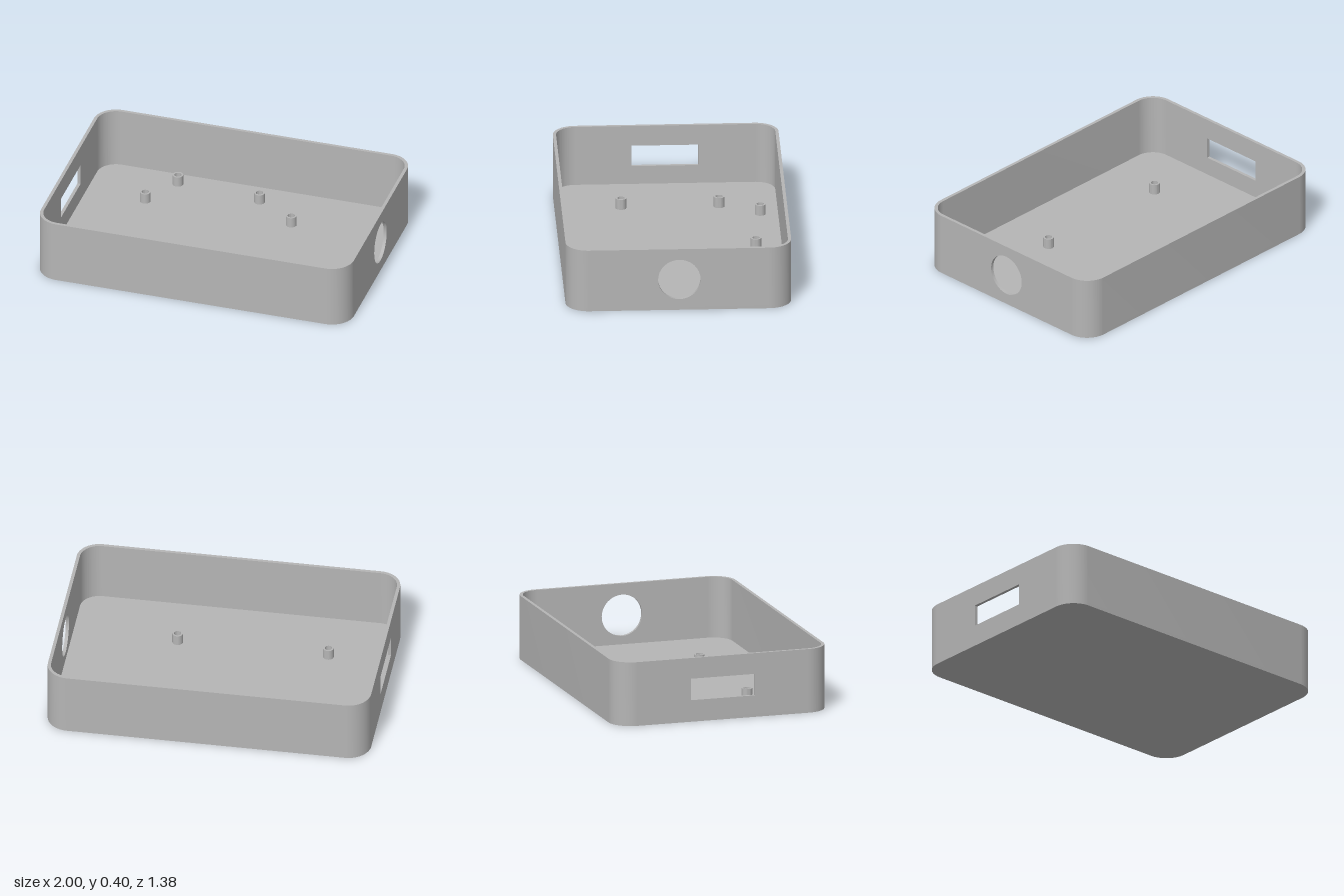
import * as THREE from 'three';
import { toCreasedNormals } from 'three/addons/utils/BufferGeometryUtils.js';

const HX = 1, HZ = 0.69, H = 0.4;      // half length, half depth, height
const R = 0.14, WALL = 0.02, FLOOR = 0.018;
const CX = HX - R, CZ = HZ - R;        // corner arc centres

export function createModel() {
  const group = new THREE.Group();
  const grey = new THREE.MeshStandardMaterial({ color: 0xb5b5b5 });
  grey.name = 'matte grey';

  const add = (name, geometry) => {
    const mesh = new THREE.Mesh(geometry, grey);
    mesh.name = name;
    group.add(mesh);
    return mesh;
  };
  const extrude = (shape, depth) => toCreasedNormals(
    new THREE.ExtrudeGeometry(shape, { depth, bevelEnabled: false, curveSegments: 16 }), 0.5);
  // Stands a plan shape up along y
  const extrudeUp = (shape, y0, y1) =>
    extrude(shape, y1 - y0).rotateX(-Math.PI / 2).translate(0, y0, 0);

  // Rounded floor plate
  const plate = new THREE.Shape();
  plate.absarc(CX, CZ, R, 0, Math.PI / 2);
  plate.absarc(-CX, CZ, R, Math.PI / 2, Math.PI);
  plate.absarc(-CX, -CZ, R, Math.PI, Math.PI * 1.5);
  plate.absarc(CX, -CZ, R, Math.PI * 1.5, Math.PI * 2);
  plate.closePath();
  add('floor', extrudeUp(plate, 0, FLOOR));

  // Long walls, each with its two rounded corners
  const longWall = new THREE.Shape();
  longWall.absarc(CX, CZ, R, 0, Math.PI / 2);
  longWall.absarc(-CX, CZ, R, Math.PI / 2, Math.PI);
  longWall.absarc(-CX, CZ, R - WALL, Math.PI, Math.PI / 2, true);
  longWall.absarc(CX, CZ, R - WALL, Math.PI / 2, 0, true);
  longWall.closePath();
  add('backWall', extrudeUp(longWall, FLOOR, H));
  add('frontWall', extrudeUp(longWall, FLOOR, H).rotateY(Math.PI));

  // Short walls with their cable openings
  const rectangle = (path, x0, y0, x1, y1) =>
    path.moveTo(x0, y0).lineTo(x1, y0).lineTo(x1, y1).lineTo(x0, y1).closePath();
  const endWall = (name, hole, x) => {
    const shape = new THREE.Shape();
    rectangle(shape, -CZ, FLOOR, CZ, H);
    shape.holes.push(hole);
    add(name, extrude(shape, WALL).rotateY(Math.PI / 2).translate(x, 0, 0));
  };
  const roundHole = new THREE.Path();
  roundHole.absarc(0, 0.2, 0.13, 0, Math.PI * 2);
  endWall('leftWall', roundHole, HX - WALL);
  const slot = new THREE.Path();
  rectangle(slot, -0.205, 0.135, 0.205, 0.27);
  endWall('rightWall', slot, -HX);

  // Hollow mounting posts
  const ring = new THREE.Shape();
  ring.absarc(0, 0, 0.033, 0, Math.PI * 2);
  const bore = new THREE.Path();
  bore.absarc(0, 0, 0.022, 0, Math.PI * 2);
  ring.holes.push(bore);
  const postGeometry = extrudeUp(ring, FLOOR, FLOOR + 0.066);
  [[-0.6, -0.315], [0.333, -0.315], [-0.6, 0.285], [0.333, 0.285], [-0.467, -0.56], [0.07, -0.51]]
    .forEach(([x, z], i) => add(`mountingPost${i + 1}`, postGeometry).position.set(x, 0, z));

  return group;
}
